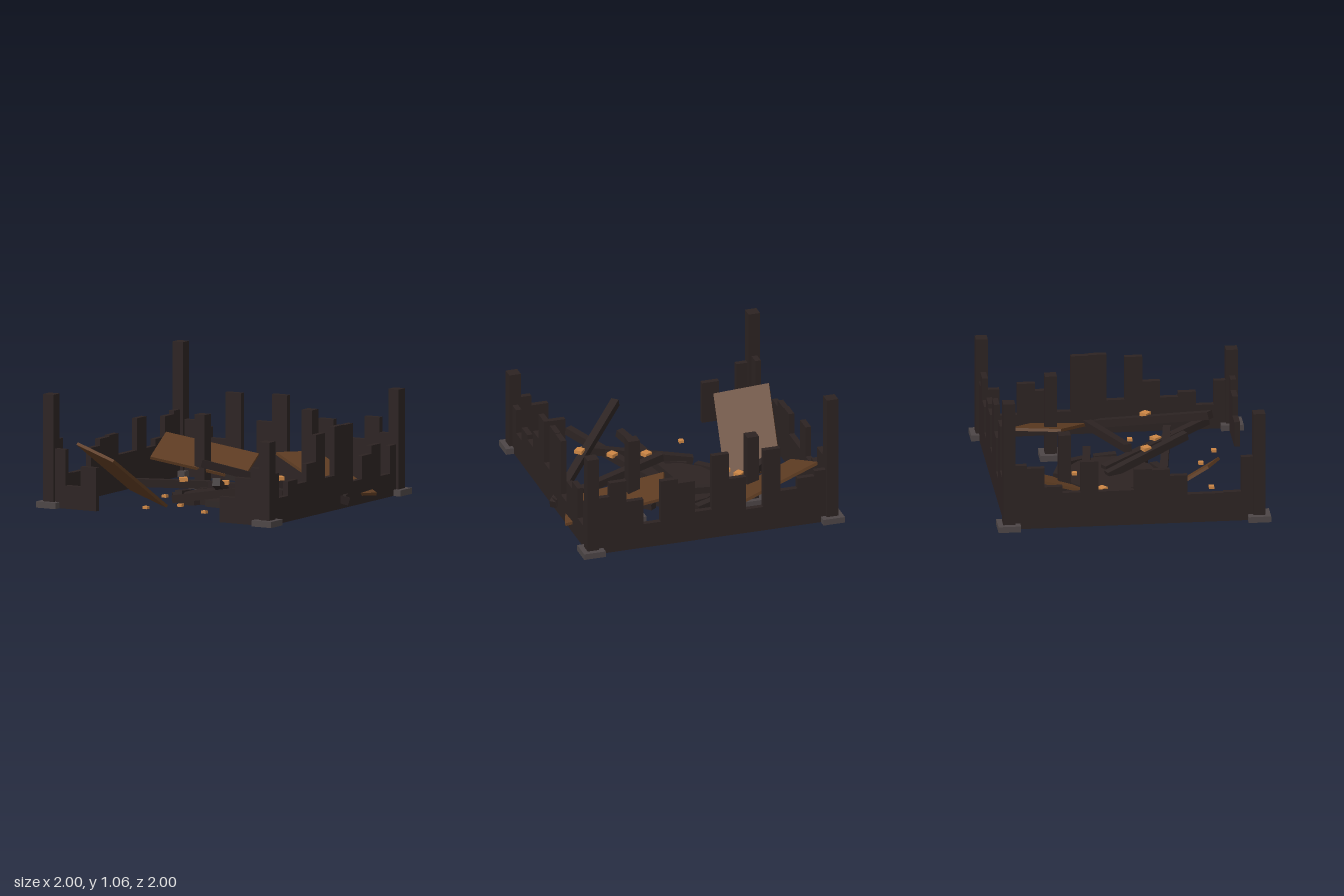
import * as THREE from 'three';

const material = (name, hex) => {
  const m = new THREE.MeshStandardMaterial({ color: hex });
  m.name = name;
  return m;
};

export function createModel() {
  const charred = material('charred wood', 0x2c2322);
  const stone = material('grey stone', 0x4c4546);
  const board = material('scorched brown board', 0x5e3c22);
  const ember = material('ember orange', 0xcc8645);

  const model = new THREE.Group();
  model.name = 'burntRuin';
  const V = (p) => new THREE.Vector3(...p);
  const FLOOR = 0.08;
  const HALF = 0.917;

  function box(name, mat, w, h, d, x, y, z, parent = model) {
    const mesh = new THREE.Mesh(new THREE.BoxGeometry(w, h, d), mat);
    mesh.name = name;
    mesh.position.set(x, y, z);
    parent.add(mesh);
    return mesh;
  }

  // Posts on stone footings: x, z, top
  const posts = [
    [-HALF, -HALF, 1.07], [HALF, -HALF, 0.86], [-HALF, HALF, 0.915], [HALF, HALF, 0.7],
    [-0.458, -0.46, 0.625], [0.455, -0.46, 0.73],
  ];
  for (const [x, z, top] of posts) {
    box('footing', stone, 0.165, 0.045, 0.165, x, FLOOR + 0.0225, z);
    box('post', charred, 0.088, top - FLOOR, 0.088, x, (top + FLOOR) / 2, z);
  }

  // Burnt walls: a row of planks with broken tops
  const step = (HALF * 2) / 14;
  function wall(name, tops, alongX, fixed, first = 0) {
    const g = new THREE.Group();
    g.name = name;
    tops.forEach((top, i) => {
      const s = -HALF + (first + i + 0.5) * step;
      const h = top - FLOOR;
      const y = FLOOR + h / 2;
      if (alongX) box('plank', charred, step, h, 0.042, s, y, fixed, g);
      else box('plank', charred, 0.042, h, step, fixed, y, s, g);
    });
    model.add(g);
  }
  wall('backWall', [0.5, 0.46, 0.38, 0.727, 0.27, 0.535, 0.742, 0.31, 0.56, 0.595, 0.27, 0.47, 0.64, 0.53],
    true, -HALF);
  wall('rightWall', [0.455, 0.25, 0.49, 0.43, 0.26, 0.69, 0.695, 0.335, 0.667, 0.47, 0.34, 0.375, 0.27, 0.455],
    false, HALF);
  wall('leftWall', [0.575, 0.55, 0.4, 0.35, 0.585, 0.35, 0.35, 0.51, 0.5, 0.45, 0.3, 0.3, 0.305, 0.575],
    false, -HALF);
  wall('frontWallLeftPart', [0.515, 0.25, 0.4], true, HALF);
  wall('frontWallRightPart', [0.27, 0.42, 0.5], true, HALF, 11);

  // Fallen roof boards, each from three corners of its top face
  function roofBoard(a, b, c) {
    const u = V(b).sub(V(a));
    const v = V(c).sub(V(b));
    const lu = u.length();
    const lv = v.length();
    u.normalize();
    const n = new THREE.Vector3().crossVectors(v, u).normalize();
    const w = new THREE.Vector3().crossVectors(u, n);
    const mid = V(a).add(V(c)).multiplyScalar(0.5);
    const mesh = box('roofBoard', board, lu, 0.022, lv, mid.x, mid.y, mid.z);
    mesh.quaternion.setFromRotationMatrix(new THREE.Matrix4().makeBasis(u, n, w));
  }
  roofBoard([-0.893, 0.425, -0.674], [-0.225, 0.29, -0.877], [-0.15, 0.16, -0.513]);
  roofBoard([-0.92, 0.5, 0.545], [-0.535, 0.415, 0.67], [-0.437, 0.015, 0.08]);
  roofBoard([0.198, 0.39, -0.422], [0.326, 0.365, -0.78], [0.984, 0.14, -0.508]);

  // Round hearth with a ring of blocks
  const hearth = new THREE.Group();
  hearth.name = 'hearth';
  hearth.position.set(0, FLOOR, -0.07);
  model.add(hearth);
  const disc = new THREE.Mesh(new THREE.CylinderGeometry(0.338, 0.338, 0.04, 14), charred);
  disc.name = 'hearthDisc';
  disc.position.y = 0.02;
  hearth.add(disc);
  for (let i = 0; i < 10; i++) {
    const a = (i / 10) * Math.PI * 2;
    const block = box('hearthBlock', charred, 0.058, 0.045, 0.167,
      Math.cos(a) * 0.38, 0.02, Math.sin(a) * 0.38, hearth);
    block.rotation.y = -a;
    block.rotateX(i % 2 ? 0.08 : -0.08);
  }

  // Fallen beams between two end points
  function beam(a, b) {
    const p = V(a);
    const q = V(b);
    const mid = p.clone().add(q).multiplyScalar(0.5);
    const mesh = box('fallenBeam', charred, 0.058, 0.058, p.distanceTo(q), mid.x, mid.y, mid.z);
    mesh.lookAt(q);
  }
  beam([-0.74, 0.16, 0.01], [-0.24, 0.13, -0.365]);
  beam([-0.29, 0.14, -0.29], [0.4, 0.15, -0.2]);
  beam([0.06, 0.285, 0.065], [0.95, 0.15, -0.155]);
  beam([-0.04, 0.12, -0.1], [0.24, 0.3, 0.51]);
  beam([0.085, 0.12, -0.11], [0.57, 0.28, 0.7]);
  beam([0.21, 0.46, 0.685], [0.96, 0.13, -0.155]);
  beam([-0.25, 0.11, 0.285], [0.51, 0.25, 0.4]);

  // Glowing chips on the ground
  const chips = [
    [-0.4, -0.378], [-0.005, -0.335, 0.13], [-0.452, 0.08], [-0.12, 0.415],
    [-0.278, 0.64], [0.203, 0.615], [0.443, 0.737], [0.727, 0.15],
  ];
  for (const [x, z, y = 0.09] of chips) box('emberChip', ember, 0.037, 0.02, 0.037, x, y, z);

  // Larger embers resting on the beams: x, y, z, turn
  const embers = [
    [-0.455, 0.18, -0.182, 0.65], [0.13, 0.25, 0.205, 0.45],
    [0.36, 0.235, 0.3, 0.55], [0.625, 0.325, 0.255, 0.8],
  ];
  for (const [x, y, z, turn] of embers) {
    box('beamEmber', ember, 0.06, 0.028, 0.06, x, y, z).rotation.y = turn;
  }

  return model;
}
